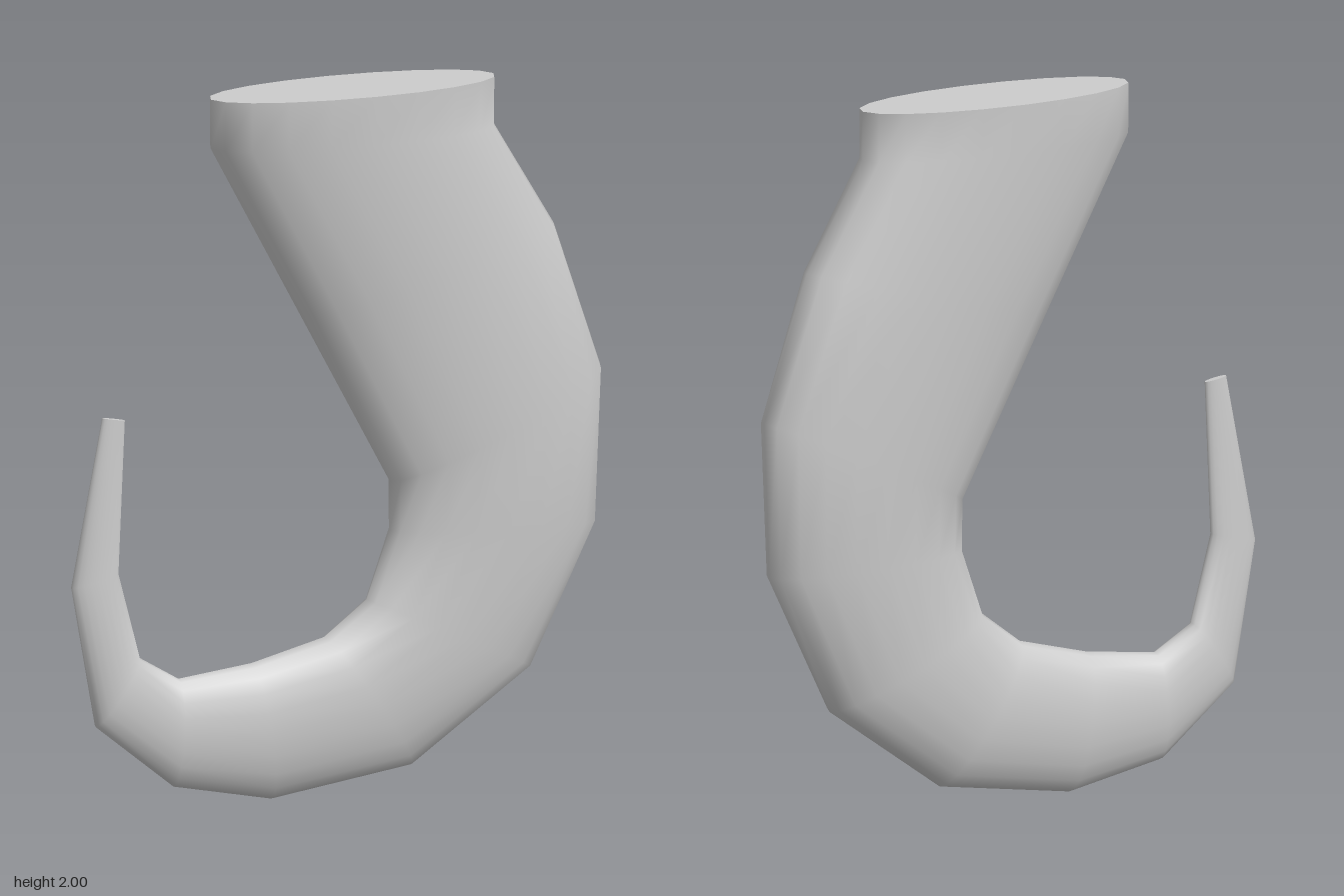
import * as THREE from 'three';

const SIDES = 20;

// Cross-sections from the wide top to the tip:
// outer edge x, y, inner edge x, y, half thickness in z
const SECTIONS = [
  [0.485, 2.0, -0.385, 2.0, 0.162],
  [0.485, 1.86, -0.385, 1.86, 0.16],
  [0.67, 1.56, -0.11, 1.365, 0.148],
  [0.812, 1.15, 0.165, 0.87, 0.134],
  [0.795, 0.71, 0.165, 0.73, 0.12],
  [0.595, 0.31, 0.095, 0.54, 0.105],
  [0.23, 0.06, -0.035, 0.445, 0.09],
  [-0.2, 0.0, -0.26, 0.39, 0.075],
  [-0.5, 0.06, -0.485, 0.365, 0.059],
  [-0.74, 0.25, -0.605, 0.435, 0.043],
  [-0.815, 0.65, -0.67, 0.68, 0.027],
  [-0.72, 1.125, -0.65, 1.113, 0.012],
];

// Points of one elliptical cross-section
function ring([ox, oy, ix, iy, w]) {
  const points = [];
  for (let j = 0; j < SIDES; j++) {
    const a = (j / SIDES) * Math.PI * 2;
    const c = Math.cos(a) / 2;
    points.push(
      (ox + ix) / 2 + (ox - ix) * c,
      (oy + iy) / 2 + (oy - iy) * c,
      w * Math.sin(a)
    );
  }
  return points;
}

function build(positions, index) {
  const geometry = new THREE.BufferGeometry();
  geometry.setAttribute('position', new THREE.Float32BufferAttribute(positions, 3));
  geometry.setIndex(index);
  geometry.computeVertexNormals();
  return geometry;
}

// Skin joining neighbouring cross-sections
function skin() {
  const index = [];
  for (let i = 0; i < SECTIONS.length - 1; i++) {
    for (let j = 0; j < SIDES; j++) {
      const k = (j + 1) % SIDES;
      const a = i * SIDES + j, b = i * SIDES + k;
      index.push(a, b, b + SIDES, a, b + SIDES, a + SIDES);
    }
  }
  return build(SECTIONS.flatMap(ring), index);
}

// Flat lid over one end
function lid(section, reversed) {
  const index = [];
  for (let j = 1; j < SIDES - 1; j++) {
    if (reversed) index.push(0, j + 1, j);
    else index.push(0, j, j + 1);
  }
  return build(ring(section), index);
}

export function createModel() {
  const group = new THREE.Group();
  group.name = 'curvedHorn';
  const material = new THREE.MeshStandardMaterial({ color: 0xcccccc });
  const add = (name, geometry) => {
    const mesh = new THREE.Mesh(geometry, material);
    mesh.name = name;
    group.add(mesh);
  };

  add('hornBody', skin());
  add('topCap', lid(SECTIONS[0], true));
  add('tipCap', lid(SECTIONS[SECTIONS.length - 1], false));
  return group;
}
